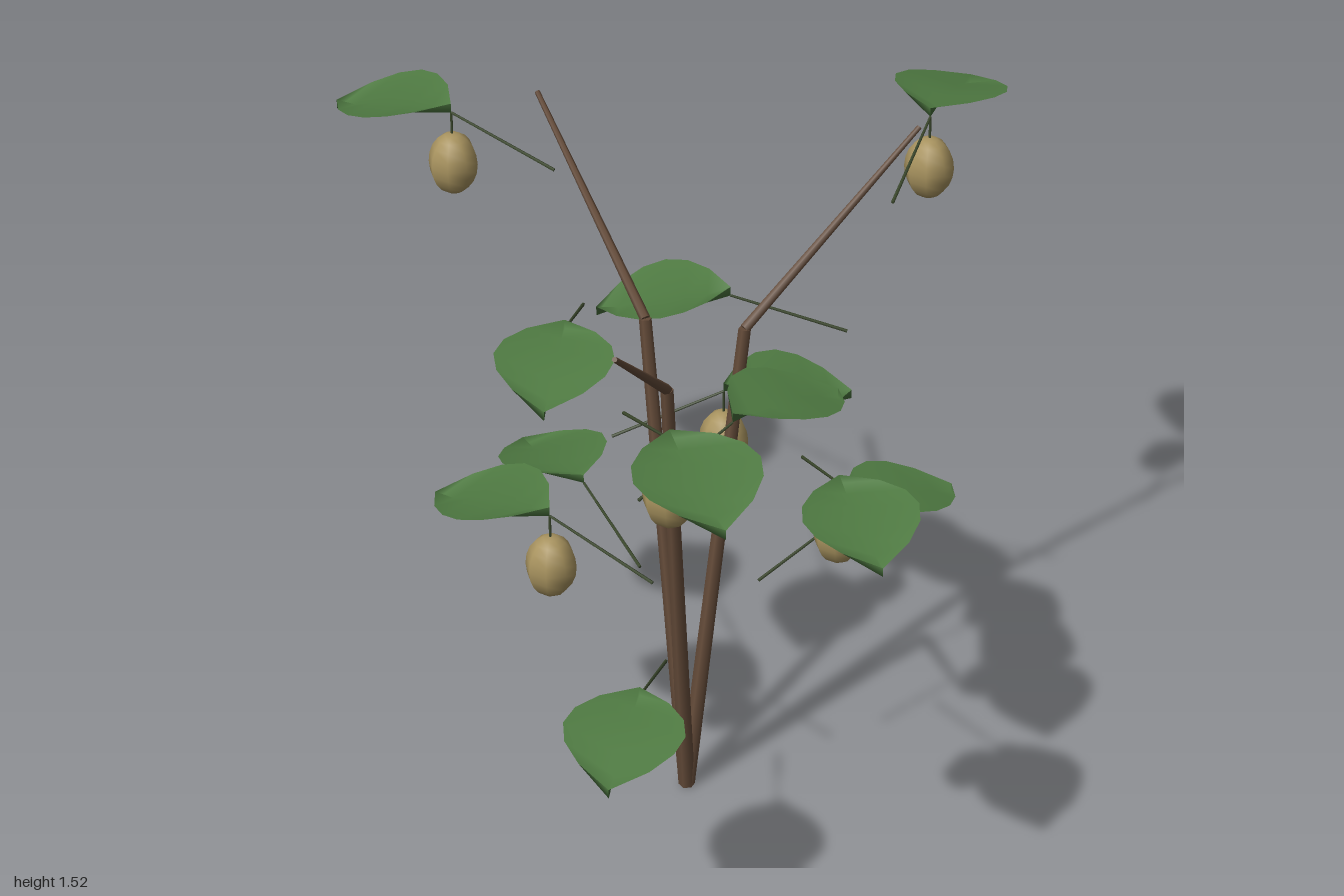
import * as THREE from 'three';

const V = (x, y, z) => new THREE.Vector3(x, y, z);

const bark = new THREE.MeshStandardMaterial({ color: 0x644b39 });
bark.name = 'bark brown';
const stalkGreen = new THREE.MeshStandardMaterial({ color: 0x3d4a2e });
stalkGreen.name = 'stalk green';
const leafGreen = new THREE.MeshStandardMaterial({ color: 0x4f7a42, side: THREE.DoubleSide });
leafGreen.name = 'leaf green';
const fruitTan = new THREE.MeshStandardMaterial({ color: 0xa8935f });
fruitTan.name = 'fruit tan';

// Tapered rod between two points
function rod(name, a, b, r0, r1, sides, material) {
  const d = b.clone().sub(a);
  const mesh = new THREE.Mesh(new THREE.CylinderGeometry(r1, r0, d.length(), sides), material);
  mesh.position.copy(a).addScaledVector(d, 0.5);
  mesh.quaternion.setFromUnitVectors(V(0, 1, 0), d.normalize());
  mesh.name = name;
  return mesh;
}

// Round leaf along +x, folded up along the midrib and drooping at the tip
function leafGeometry() {
  const length = 0.3, halfWidth = 0.133, rows = 6, pos = [], idx = [];
  for (let i = 0; i <= rows; i++) {
    const u = i / rows;
    const w = halfWidth * Math.pow(Math.max(0, Math.sin(Math.PI * u)), 0.8);
    const y = 0.03 * u - 0.086 * u * u;
    for (const s of [-1, 0, 1]) pos.push(length * u, y + 0.022 * Math.abs(s), w * s);
    if (i < rows) {
      for (const k of [0, 1]) {
        const a = i * 3 + k, b = a + 3;
        idx.push(a, a + 1, b, b, a + 1, b + 1);
      }
    }
  }
  const g = new THREE.BufferGeometry();
  g.setAttribute('position', new THREE.Float32BufferAttribute(pos, 3));
  g.setIndex(idx);
  g.computeVertexNormals();
  return g;
}

export function createModel() {
  const plant = new THREE.Group();
  plant.name = 'fruitingPlant';
  const root = V(-0.192, 0, 0.063);
  const leafGeo = leafGeometry();
  const fruitGeo = new THREE.SphereGeometry(1, 8, 10).scale(0.057, 0.075, 0.057);

  for (let s = 0; s < 3; s++) {
    const stem = new THREE.Group();
    stem.name = 'stem' + (s + 1);
    plant.add(stem);

    // Bent stem: steep lower part, spreading upper part
    const angle = s * 2.4;
    const reach = (r, y) => root.clone().add(V(Math.cos(angle) * r, y, Math.sin(angle) * r));
    const bend = reach(0.165, 1.16), tip = reach(0.64, 1.51);
    stem.add(rod('lowerStem', root, bend, 0.019, 0.014, 6, bark));
    stem.add(rod('upperStem', bend, tip, 0.012, 0.006, 6, bark));

    // Leaves spiral upward; every second one carries a fruit
    for (let i = 0; i < 4; i++) {
      const t = 0.32 + 0.19 * i;
      const a = angle + i * 1.9;
      const start = root.clone().lerp(tip, t);
      const end = start.clone().add(V(Math.cos(a) * 0.26, 0.087, Math.sin(a) * 0.26));
      stem.add(rod('leafStalk', start, end, 0.004, 0.003, 5, stalkGreen));

      const leaf = new THREE.Mesh(leafGeo, leafGreen);
      leaf.name = 'leaf';
      leaf.position.copy(end);
      leaf.rotation.y = -a;
      stem.add(leaf);

      if (i % 2 === 1) {
        const centre = end.clone().add(V(0, -0.127, 0));
        stem.add(rod('fruitStalk', centre.clone().add(V(0, 0.07, 0)), end, 0.003, 0.003, 5, stalkGreen));
        const fruit = new THREE.Mesh(fruitGeo, fruitTan);
        fruit.name = 'fruit';
        fruit.position.copy(centre);
        stem.add(fruit);
      }
    }
  }
  return plant;
}
